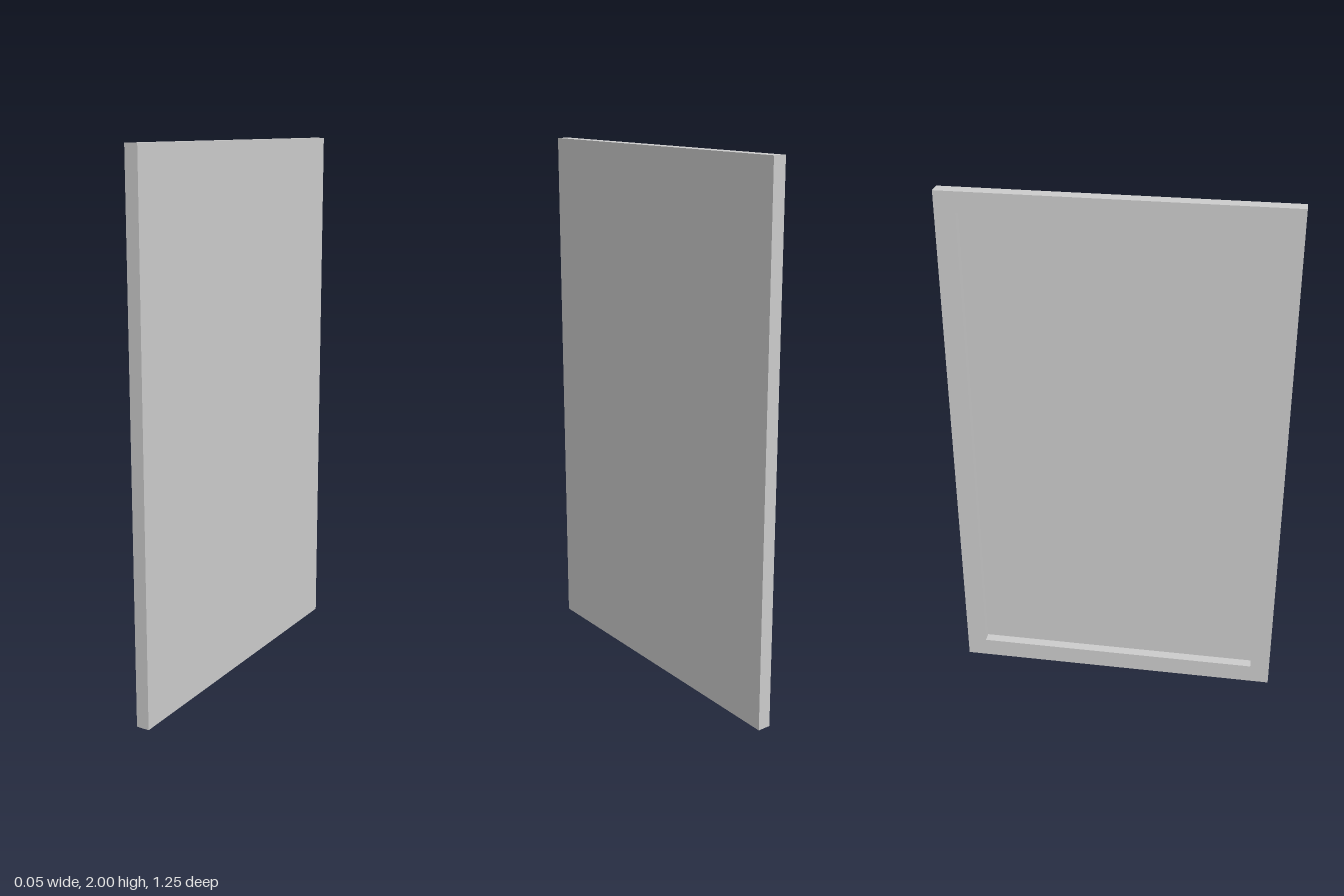
import * as THREE from 'three';

const HEIGHT = 2, WIDTH = 1.25, THICK = 0.05; // overall size (y, z, x)
const RAIL = 0.075;                           // width of the frame border
const RECESS = 0.0375;                        // depth of the recess on the -x side

export function createModel() {
  const group = new THREE.Group();
  group.name = 'framedPanel';
  const material = new THREE.MeshStandardMaterial({ color: 0xcccccc, flatShading: true });

  // Closed rectangle centred on the origin
  const rectangle = (PathType, w, h) => new PathType([
    new THREE.Vector2(-w / 2, -h / 2), new THREE.Vector2(w / 2, -h / 2),
    new THREE.Vector2(w / 2, h / 2), new THREE.Vector2(-w / 2, h / 2),
  ]);

  // Raised border, extruded towards +x
  const outline = rectangle(THREE.Shape, WIDTH, HEIGHT);
  outline.holes.push(rectangle(THREE.Path, WIDTH - 2 * RAIL, HEIGHT - 2 * RAIL));
  const frameGeometry = new THREE.ExtrudeGeometry(outline, { depth: THICK, bevelEnabled: false });
  frameGeometry.rotateY(Math.PI / 2).translate(-THICK / 2, HEIGHT / 2, 0);
  const frame = new THREE.Mesh(frameGeometry, material);
  frame.name = 'frame';
  group.add(frame);

  // Panel filling the opening, flush with the +x side
  const panelThick = THICK - RECESS;
  const panel = new THREE.Mesh(
    new THREE.BoxGeometry(panelThick, HEIGHT - 2 * RAIL, WIDTH - 2 * RAIL), material);
  panel.name = 'panel';
  panel.position.set(THICK / 2 - panelThick / 2, HEIGHT / 2, 0);
  group.add(panel);

  return group;
}
